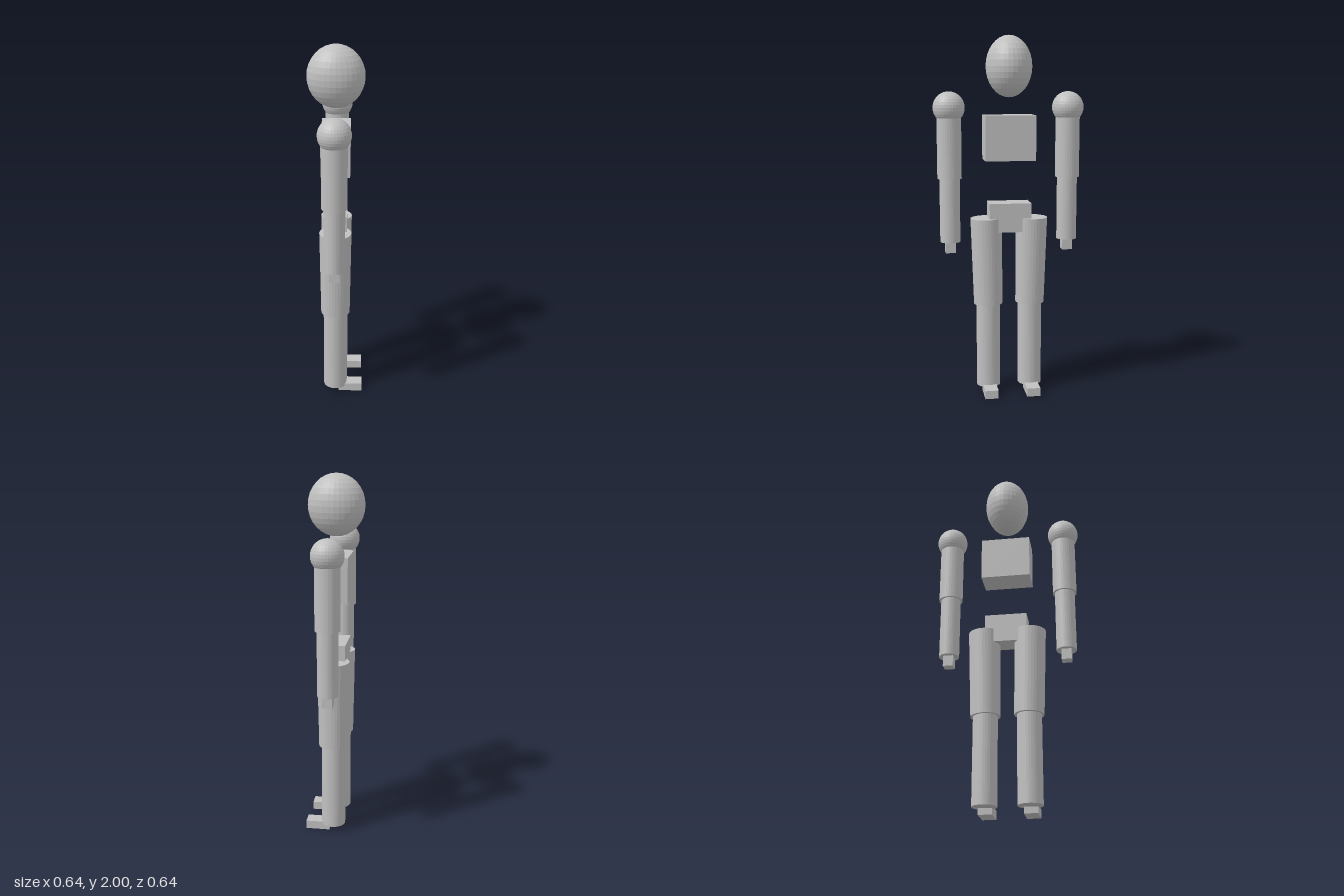
import * as THREE from 'three';

export function createModel() {
  const model = new THREE.Group();
  model.name = 'mannequin';
  // The whole figure stands turned: its side axis runs along +x +z, its toes along local -z
  const body = new THREE.Group();
  body.name = 'body';
  body.rotation.y = -Math.PI / 4;
  model.add(body);

  const grey = new THREE.MeshStandardMaterial({ color: 0xc0c0c0, flatShading: true });
  grey.name = 'plain grey';

  const add = (name, geometry, x, y, z = 0) => {
    const mesh = new THREE.Mesh(geometry, grey);
    mesh.name = name;
    mesh.position.set(x, y, z);
    body.add(mesh);
    return mesh;
  };
  // Box and upright cylinder given by their bottom and top heights
  const box = (name, w, d, y0, y1, x = 0, z = 0) =>
    add(name, new THREE.BoxGeometry(w, y1 - y0, d), x, (y0 + y1) / 2, z);
  const limb = (name, rTop, rBottom, y0, y1, x) =>
    add(name, new THREE.CylinderGeometry(rTop, rBottom, y1 - y0, 32), x, (y0 + y1) / 2);

  // Head and trunk
  add('head', new THREE.SphereGeometry(1, 32, 16).scale(0.126, 0.166, 0.154), 0, 1.834);
  box('chest', 0.277, 0.157, 1.327, 1.573);
  box('pelvis', 0.232, 0.127, 0.93, 1.091);

  for (const s of [-1, 1]) {
    const side = s > 0 ? 'left' : 'right';

    // Arm
    const armX = s * 0.329;
    add(side + 'Shoulder', new THREE.SphereGeometry(0.087, 32, 16), armX, 1.614);
    limb(side + 'UpperArm', 0.067, 0.067, 1.229, 1.56, armX);
    limb(side + 'Forearm', 0.056, 0.056, 0.877, 1.235, armX);
    box(side + 'Hand', 0.056, 0.056, 0.816, 0.885, armX);

    // Leg, with the thigh leaning slightly outward at the hip
    const thigh = limb(side + 'Thigh', 0.088, 0.081, 0.516, 1.005, s * 0.1235);
    thigh.rotation.z = -s * 0.02;
    limb(side + 'Shin', 0.067, 0.067, 0.034, 0.525, s * 0.119);
    box(side + 'Foot', 0.075, 0.135, 0, 0.047, s * 0.119, -0.0865);
  }
  return model;
}
